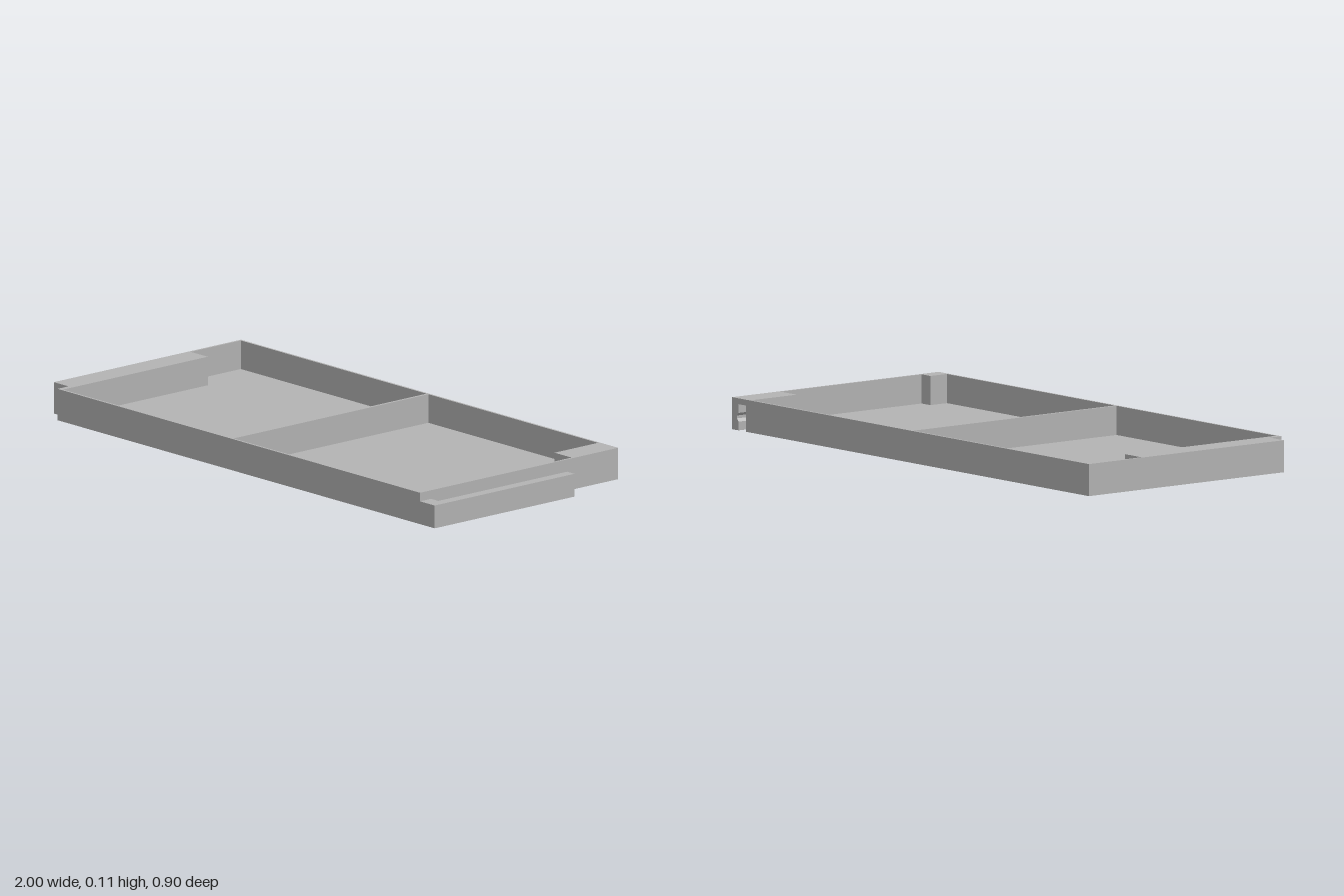
import * as THREE from 'three';

export function createModel() {
  const model = new THREE.Group();
  model.name = 'interlockingTray';
  const gray = new THREE.MeshStandardMaterial({ color: 0xb3b3b3 });
  gray.name = 'gray';

  const add = (name, geometry) => {
    const mesh = new THREE.Mesh(geometry, gray);
    mesh.name = name;
    model.add(mesh);
  };
  // box given by its lower and upper limits
  const box = (name, x0, x1, y0, y1, z0, z1) =>
    add(name, new THREE.BoxGeometry(x1 - x0, y1 - y0, z1 - z0)
      .translate((x0 + x1) / 2, (y0 + y1) / 2, (z0 + z1) / 2));
  const shape = (points) => new THREE.Shape(points.map(([x, y]) => new THREE.Vector2(x, y)));
  // x-y profile run along z
  const run = (name, points, z0, z1) =>
    add(name, new THREE.ExtrudeGeometry(shape(points), { depth: z1 - z0, bevelEnabled: false })
      .translate(0, 0, z0));

  const H = 0.11, T = 0.008, F = 0.01;

  // floor, stepped around the two channels
  const outline = [[-0.905, 0.45], [-0.905, -0.215], [-1, -0.215], [-1, -0.45],
    [0.83, -0.45], [0.83, -0.245], [0.925, -0.245], [0.925, 0.45]];
  add('floor', new THREE.ExtrudeGeometry(shape(outline), { depth: F, bevelEnabled: false })
    .rotateX(Math.PI / 2).translate(0, F, 0));

  // thin walls and divider
  box('backWall', -1, 0.83, 0, H, -0.45, -0.45 + T);
  box('frontWall', -0.905, 0.925, 0, H, 0.45 - T, 0.45);
  box('rightEndWall', -1, -1 + T, 0, H, -0.45, -0.215);
  box('leftEndWall', 0.925 - T, 0.925, 0, H, -0.245, 0.45);
  box('divider', -0.045, -0.035, F, H, -0.45 + T, 0.45 - T);

  // channels open below, with a snap groove in the outer wall
  const channel = [[-1, 0], [-0.965, 0], [-0.965, 0.03], [-0.975, 0.04], [-0.975, 0.05],
    [-0.965, 0.06], [-0.965, 0.09], [-0.925, 0.09], [-0.925, 0], [-0.905, 0], [-0.905, H], [-1, H]];
  run('longChannel', channel, -0.195, 0.4);
  box('longChannelEnd', -1, -0.905, 0, H, -0.215, -0.195);
  box('longChannelFront', -0.925, -0.905, 0, H, 0.4, 0.45);
  run('shortChannel', channel.map(([x, y]) => [-x - 0.075, y]), -0.45, -0.26);
  box('shortChannelEnd', 0.83, 0.925, 0, H, -0.26, -0.245);

  // hook arm with snap ridge, its bridge to the tray and the corner block behind
  run('hookArm', [[0.962, 0], [1, 0], [1, 0.08], [0.962, 0.08], [0.962, 0.06],
    [0.952, 0.05], [0.952, 0.04], [0.962, 0.03]], -0.185, 0.4);
  box('hookBridge', 0.925, 1, 0, 0.08, 0.4, 0.45);
  box('cornerBlock', 0.87, 0.925 - T, F, H, 0.37, 0.45 - T);

  return model;
}
